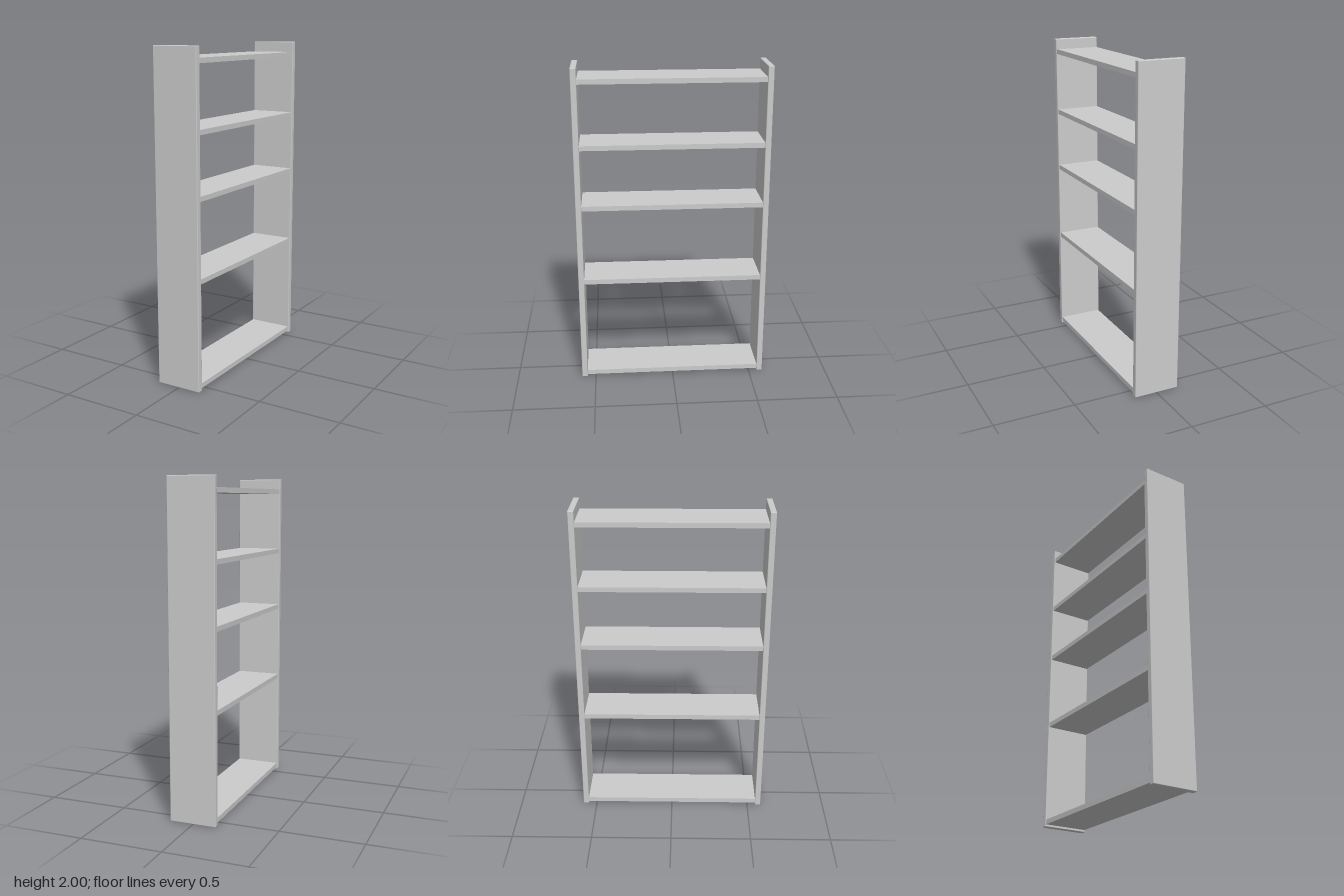
import * as THREE from 'three';
import { RoundedBoxGeometry } from 'three/addons/geometries/RoundedBoxGeometry.js';

const HEIGHT = 2, DEPTH = 0.288, HALF_SPAN = 0.588, PANEL = 0.036;
const SHELF_HEIGHTS = [0.03, 0.669, 1.152, 1.528, 1.92];

export function createModel() {
  const group = new THREE.Group();
  group.name = 'shelfUnit';
  const material = new THREE.MeshStandardMaterial({ color: 0xcccccc });

  const add = (name, geometry, y, z) => {
    const mesh = new THREE.Mesh(geometry, material);
    mesh.name = name;
    mesh.position.set(0, y, z);
    group.add(mesh);
  };

  // Upright end panels with slightly eased edges
  const panel = new RoundedBoxGeometry(DEPTH, HEIGHT, PANEL, 2, 0.005);
  for (const side of [1, -1]) {
    add(side > 0 ? 'frontPanel' : 'backPanel', panel, HEIGHT / 2, side * (HALF_SPAN - PANEL / 2));
  }

  // Shelves, a little narrower than the panels
  const shelf = new THREE.BoxGeometry(0.278, 0.03, 2 * (HALF_SPAN - PANEL));
  SHELF_HEIGHTS.forEach((y, i) => add(`shelf${i + 1}`, shelf, y, 0));

  return group;
}
